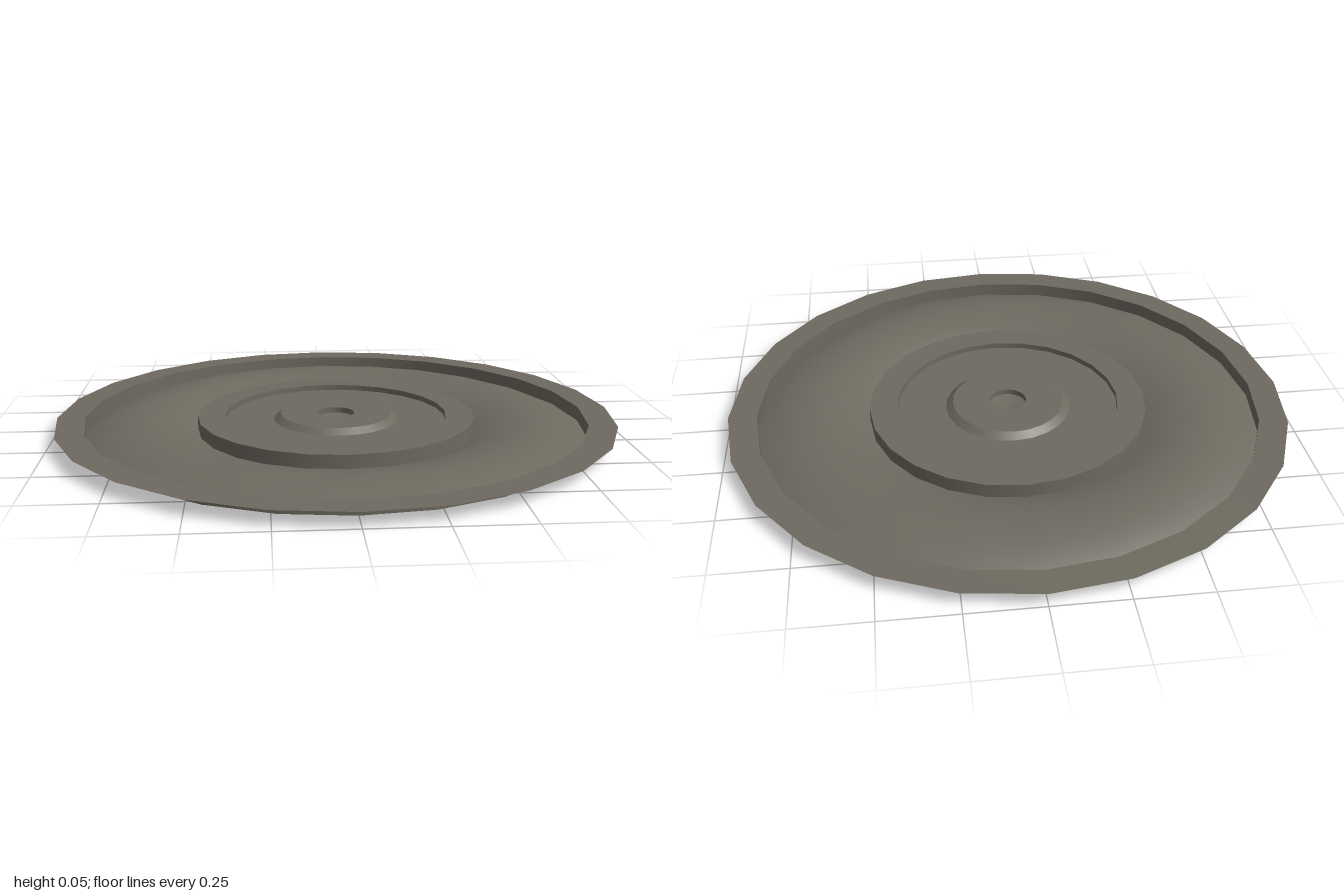
import * as THREE from 'three';

export function createModel() {
  const group = new THREE.Group();
  const metal = new THREE.MeshStandardMaterial({ color: 0x6e6a60, side: THREE.DoubleSide });
  metal.name = 'dull grey metal';

  // Each part is a thin turned surface; profiles run from outside to inside as [radius, height]
  const turn = (name, profile) => {
    const points = profile.map(([r, y]) => new THREE.Vector2(r, y));
    const mesh = new THREE.Mesh(new THREE.LatheGeometry(points, 24), metal);
    mesh.name = name;
    group.add(mesh);
  };

  const top = 0.05, recess = 0.03;

  // Flat outer rim and the wall dropping from it
  turn('outerRim', [[1, top], [0.9, top]]);
  turn('outerWall', [[0.9, top], [0.9, 0]]);

  // Gently domed ring between the outer wall and the raised ring
  const dome = [];
  for (let i = 0; i <= 10; i++) {
    const t = i / 10;
    dome.push([0.9 - 0.4 * t, 0.045 * 4 * t * (1 - t)]);
  }
  turn('domedRing', dome);

  // Raised ring
  turn('ringOuterWall', [[0.5, 0], [0.5, top]]);
  turn('ringTop', [[0.5, top], [0.4, top]]);
  turn('ringInnerWall', [[0.4, top], [0.4, recess]]);

  // Recessed floor and bevelled boss
  turn('recessedFloor', [[0.4, recess], [0.225, recess]]);
  turn('bossBevel', [[0.225, recess], [0.2, top]]);
  turn('bossTop', [[0.2, top], [0.067, top]]);

  // Shallow dished pit in the middle
  turn('pitWall', [[0.067, top], [0.067, recess]]);
  turn('pitFloor', [[0.067, recess], [0.045, 0.025], [0.02, 0.022], [0, 0.021]]);

  return group;
}
